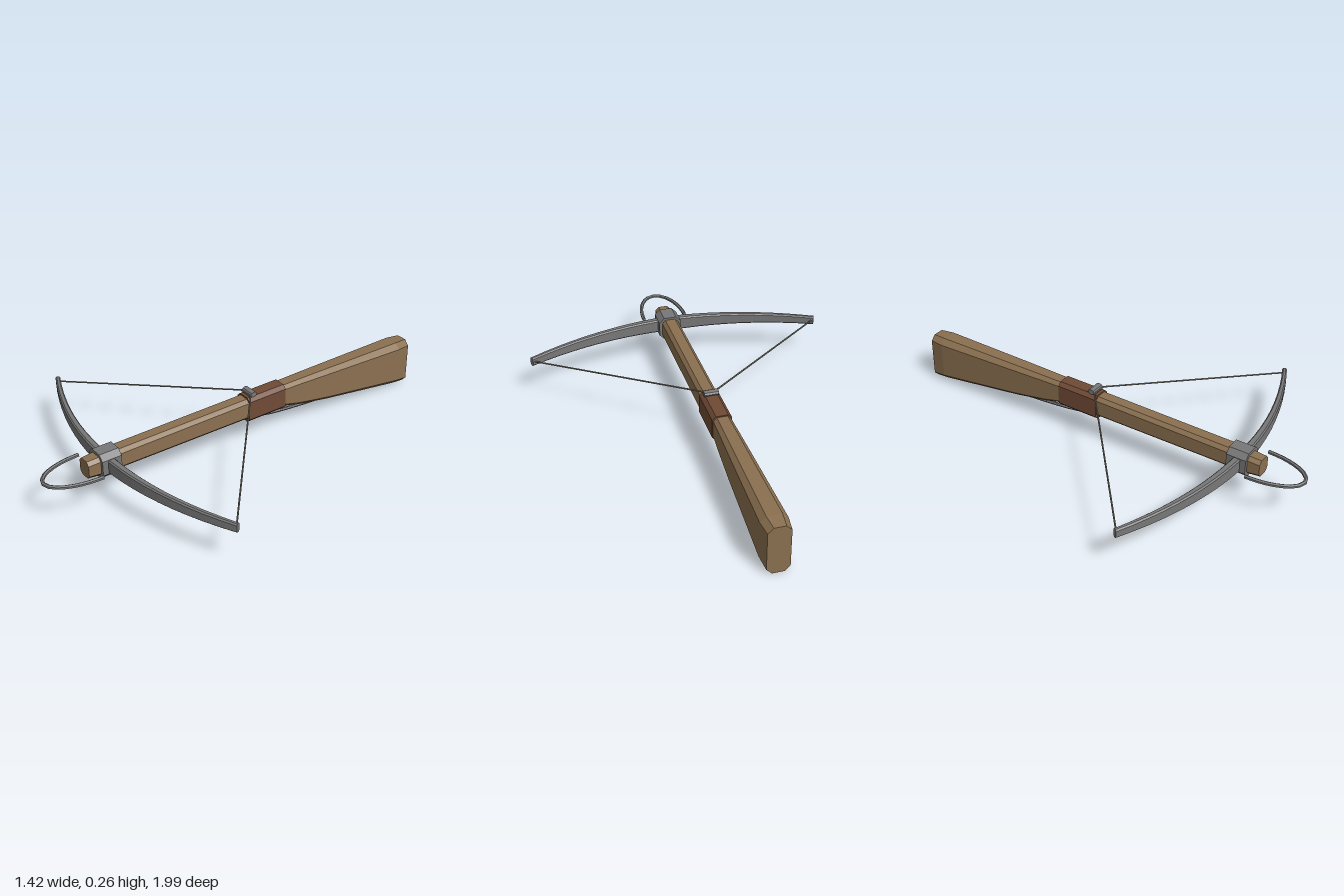
import * as THREE from 'three';

const material = (color) => new THREE.MeshStandardMaterial({ color, flatShading: true, side: THREE.DoubleSide });

// Chamfered rectangle, counter-clockwise, as [u, v] pairs
function chamferedRect(u0, u1, v0, v1, c) {
  return [[u1, v0 + c], [u1, v1 - c], [u1 - c, v1], [u0 + c, v1],
    [u0, v1 - c], [u0, v0 + c], [u0 + c, v0], [u1 - c, v0]];
}

// Skin a list of rings of Vector3 and cap both ends
function loft(rings) {
  const pos = [];
  const tri = (a, b, c) => [a, b, c].forEach((p) => pos.push(p.x, p.y, p.z));
  const n = rings[0].length;
  for (let i = 0; i < rings.length - 1; i++) {
    for (let j = 0; j < n; j++) {
      const k = (j + 1) % n;
      const a = rings[i][j], b = rings[i][k], c = rings[i + 1][k], d = rings[i + 1][j];
      tri(a, b, c);
      tri(a, c, d);
    }
  }
  const first = rings[0], last = rings[rings.length - 1];
  for (let j = 1; j < n - 1; j++) {
    tri(first[0], first[j + 1], first[j]);
    tri(last[0], last[j], last[j + 1]);
  }
  const g = new THREE.BufferGeometry();
  g.setAttribute('position', new THREE.Float32BufferAttribute(pos, 3));
  g.computeVertexNormals();
  return g;
}

// Body running along z from rows of [z, half width, bottom, top, chamfer]
const bodyAlongZ = (rows) => loft(rows.map(([z, w, y0, y1, c]) =>
  chamferedRect(-w, w, y0, y1, c).map(([x, y]) => new THREE.Vector3(x, y, z))));

// Bow centre line: z as a function of x
const SPAN = 0.705, DROP = 0.17, BOW_Z = 0.69, BOW_Y = 0.187;
const bowZ = (x) => BOW_Z - DROP * (x / SPAN) ** 2;

function bowGeometry() {
  const rings = [], steps = 20;
  for (let i = 0; i <= steps; i++) {
    const x = -SPAN + (2 * SPAN * i) / steps;
    const t = Math.abs(x) / SPAN;
    const h = 0.034 - 0.013 * t, d = 0.018 - 0.007 * t;
    const normal = new THREE.Vector3((2 * DROP * x) / SPAN ** 2, 0, 1).normalize();
    rings.push(chamferedRect(-h, h, -d, d, 0.006).map(([y, s]) =>
      new THREE.Vector3(x, BOW_Y + y, bowZ(x)).addScaledVector(normal, s)));
  }
  return loft(rings);
}

export function createModel() {
  const group = new THREE.Group();
  const wood = material(0x8b7050);
  const wrapWood = material(0x704a35);
  const metal = material(0x777777);
  const cord = material(0x7a756a);
  const add = (name, geometry, mat) => {
    const mesh = new THREE.Mesh(geometry, mat);
    mesh.name = name;
    group.add(mesh);
    return mesh;
  };

  // Stock, from butt to muzzle
  add('stock', bodyAlongZ([
    [-1, 0.05, 0.005, 0.233, 0.024],
    [-0.93, 0.059, 0.015, 0.238, 0.026],
    [-0.5, 0.048, 0.075, 0.239, 0.02],
    [-0.33, 0.043, 0.105, 0.239, 0.017],
    [-0.22, 0.04, 0.133, 0.238, 0.016],
    [0.64, 0.04, 0.14, 0.235, 0.016],
    [0.74, 0.04, 0.143, 0.232, 0.016],
    [0.79, 0.037, 0.147, 0.229, 0.016],
  ]), wood);

  // Lock housing around the middle, and the iron collar holding the bow
  add('lockHousing', bodyAlongZ([[-0.24, 0.045, 0.12, 0.244, 0.017], [-0.035, 0.045, 0.12, 0.244, 0.017]]), wrapWood);
  add('bowCollar', bodyAlongZ([[0.64, 0.054, 0.13, 0.246, 0.024], [0.733, 0.054, 0.13, 0.246, 0.024]]), metal);

  add('bow', bowGeometry(), metal);

  // Foot stirrup
  const stirrup = [];
  for (let i = 0; i <= 12; i++) {
    const a = (Math.PI * i) / 12;
    stirrup.push(new THREE.Vector3(0.104 * Math.cos(a), 0.187, 0.76 + 0.222 * Math.sin(a)));
  }
  add('stirrup', new THREE.TubeGeometry(new THREE.CatmullRomCurve3(stirrup), 16, 0.009, 6), metal);

  // String: two slanted runs and a short run across the nut
  const string = new THREE.CurvePath();
  const points = [[-0.695, BOW_Y, 0.52], [-0.035, 0.253, -0.047], [0.035, 0.253, -0.047], [0.695, BOW_Y, 0.52]]
    .map((p) => new THREE.Vector3(...p));
  for (let i = 0; i < 3; i++) string.add(new THREE.LineCurve3(points[i], points[i + 1]));
  string.curves.forEach((c, i) => add('string' + (i + 1), new THREE.TubeGeometry(c, 1, 0.004, 6), cord));

  // Nut that catches the string
  const nut = add('nut', new THREE.CylinderGeometry(0.016, 0.016, 0.066, 8), metal);
  nut.rotation.z = Math.PI / 2;
  nut.scale.set(0.75, 1, 1.1);
  nut.position.set(0, 0.254, -0.067);

  // Trigger lever under the stock
  const lever = new THREE.CatmullRomCurve3([[0.117, -0.1], [0.098, -0.2], [0.084, -0.33], [0.07, -0.52]]
    .map(([y, z]) => new THREE.Vector3(0, y, z)));
  add('triggerLever', new THREE.TubeGeometry(lever, 10, 0.008, 6), metal);

  return group;
}
